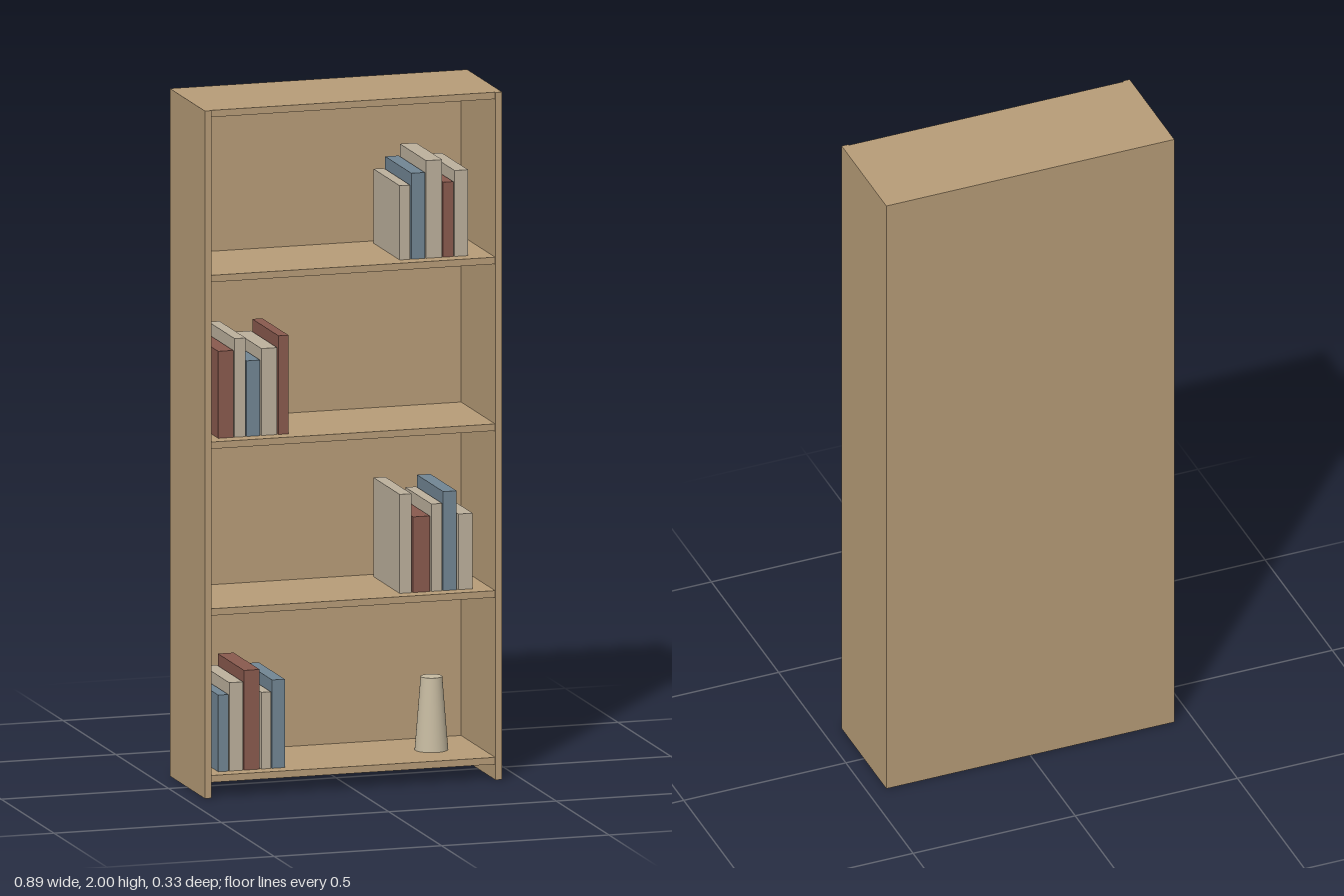
import * as THREE from 'three';

const colour = (name, hex) => {
  const m = new THREE.MeshStandardMaterial({ color: hex });
  m.name = name;
  return m;
};

export function createModel() {
  const wood = colour('oak wood', 0xb89d78);
  const books = {
    red: colour('red cover', 0x8a5a4e),
    blue: colour('blue cover', 0x728694),
    cream: colour('cream cover', 0xbdb19d),
  };
  const clay = colour('pale clay', 0xc8bca2);

  const model = new THREE.Group();
  model.name = 'bookcase';

  // Box given by its minimum and maximum corners
  const box = (name, material, [x0, y0, z0], [x1, y1, z1], parent = model) => {
    const mesh = new THREE.Mesh(new THREE.BoxGeometry(x1 - x0, y1 - y0, z1 - z0), material);
    mesh.position.set((x0 + x1) / 2, (y0 + y1) / 2, (z0 + z1) / 2);
    mesh.name = name;
    parent.add(mesh);
    return mesh;
  };

  // Carcass: two sides, a thin back panel and the top
  const W = 0.444, inner = 0.424, D = 0.166, backFront = -0.16, shelfFront = 0.162;
  box('leftSide', wood, [inner, 0, -D], [W, 2, D]);
  box('rightSide', wood, [-W, 0, -D], [-inner, 2, D]);
  box('backPanel', wood, [-inner, 0, -D], [inner, 2, backFront]);
  box('topPanel', wood, [-inner, 1.98, backFront], [inner, 2, shelfFront]);

  // Shelves with a row of books on each: [left x, right x, height, cover]
  const rows = [
    [[-0.389, -0.359, 0.223, 'blue'], [-0.356, -0.315, 0.257, 'cream'], [-0.312, -0.265, 0.29, 'red'],
      [-0.26, -0.232, 0.223, 'cream'], [-0.228, -0.19, 0.257, 'blue']],
    [[0.153, 0.188, 0.288, 'cream'], [0.193, 0.243, 0.22, 'red'], [0.248, 0.28, 0.254, 'cream'],
      [0.283, 0.323, 0.288, 'blue'], [0.328, 0.371, 0.22, 'cream']],
    [[-0.389, -0.344, 0.253, 'red'], [-0.34, -0.307, 0.287, 'cream'], [-0.304, -0.264, 0.22, 'blue'],
      [-0.26, -0.213, 0.253, 'cream'], [-0.209, -0.179, 0.287, 'red']],
    [[0.153, 0.184, 0.216, 'cream'], [0.188, 0.228, 0.25, 'blue'], [0.232, 0.28, 0.284, 'cream'],
      [0.283, 0.313, 0.218, 'red'], [0.317, 0.357, 0.25, 'cream']],
  ];
  rows.forEach((row, i) => {
    const y = 0.065 + i * 0.485;
    box('shelf' + (i + 1), wood, [-inner, y - 0.02, backFront], [inner, y, shelfFront]);
    const group = new THREE.Group();
    group.name = 'bookRow' + (i + 1);
    model.add(group);
    row.forEach(([x0, x1, h, cover], j) =>
      box('book' + (j + 1), books[cover], [x0, y, -0.13], [x1, y + h, 0.118], group));
  });

  // Tapered vase on the bottom shelf
  const vase = new THREE.Mesh(new THREE.CylinderGeometry(0.031, 0.048, 0.213, 32), clay);
  vase.position.set(0.285, 0.065 + 0.1065, 0);
  vase.name = 'vase';
  model.add(vase);

  return model;
}
